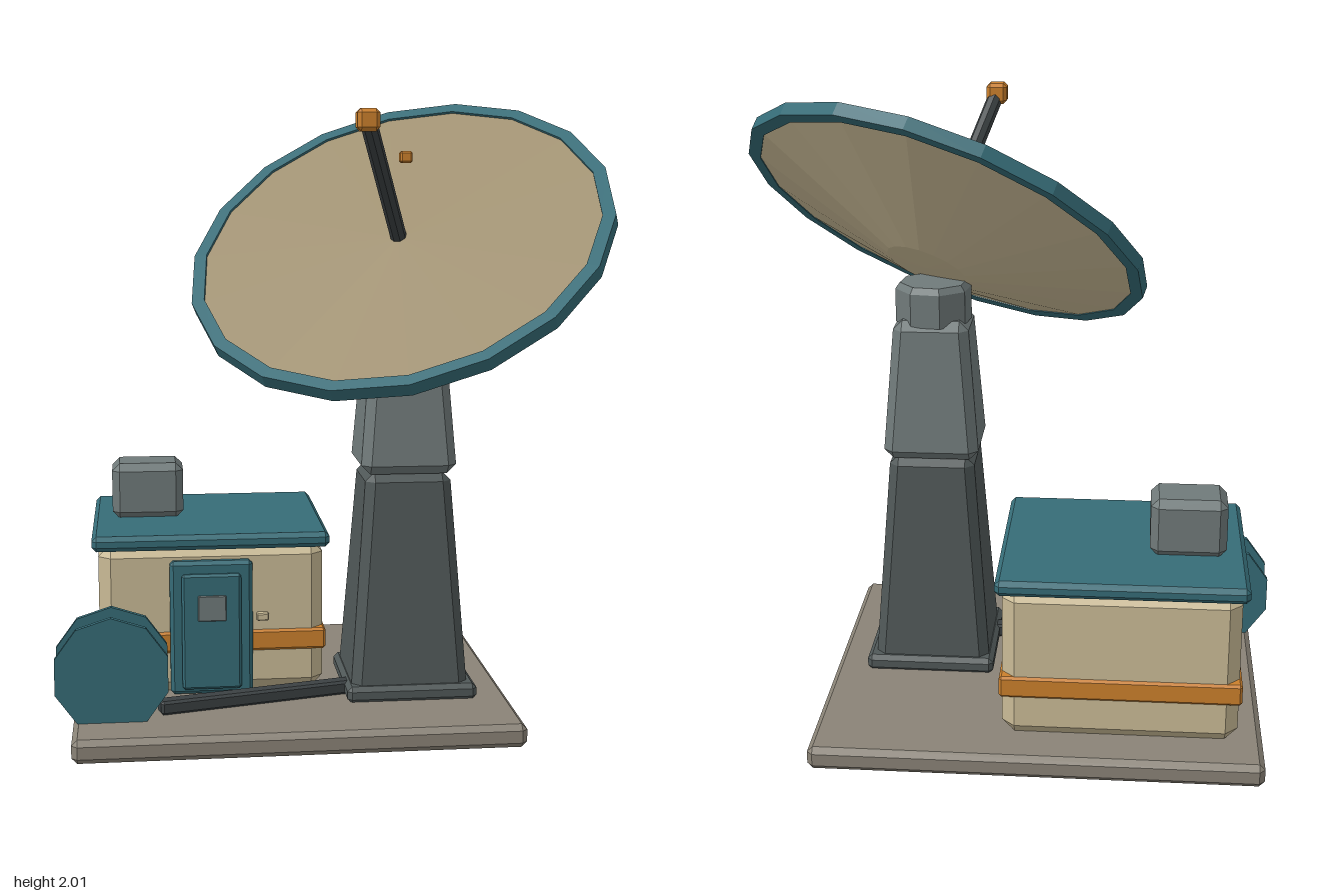
import * as THREE from 'three';
import { ConvexGeometry } from 'three/addons/geometries/ConvexGeometry.js';

const paint = (name, color) => {
  const m = new THREE.MeshStandardMaterial({ color });
  m.name = name;
  return m;
};

// Faceted normals for any geometry
const facet = (g) => {
  const f = g.index ? g.toNonIndexed() : g;
  f.computeVertexNormals();
  return f;
};

// Box with chamfered edges; the top may be narrower than the bottom
function chamferBox(w, h, d, b, topW = w, topD = d) {
  const pts = [];
  for (const sx of [-1, 1]) for (const sy of [-1, 1]) for (const sz of [-1, 1]) {
    const x = (sy < 0 ? w : topW) / 2, y = h / 2, z = (sy < 0 ? d : topD) / 2;
    pts.push(
      new THREE.Vector3(sx * x, sy * (y - b), sz * (z - b)),
      new THREE.Vector3(sx * (x - b), sy * (y - b), sz * z),
      new THREE.Vector3(sx * (x - b), sy * y, sz * (z - b)));
  }
  return new ConvexGeometry(pts);
}

const lathe = (pts, sides) =>
  facet(new THREE.LatheGeometry(pts.map(([r, y]) => new THREE.Vector2(r, y)), sides));

export function createModel() {
  const cream = paint('cream', 0xcabb96);
  const khaki = paint('khaki', 0x9f9070);
  const teal = paint('teal', 0x366c77);
  const orange = paint('orange', 0xcb802c);
  const darkGrey = paint('dark grey', 0x505858);
  const midGrey = paint('mid grey', 0x707a7a);
  const charcoal = paint('charcoal', 0x3b4143);
  const stone = paint('stone', 0x8a8377);

  const model = new THREE.Group();
  model.name = 'dishStation';
  const add = (name, geo, mat, x = 0, y = 0, z = 0, parent = model) => {
    const m = new THREE.Mesh(geo, mat);
    m.name = name;
    m.position.set(x, y, z);
    parent.add(m);
    return m;
  };
  // Chamfered box given by its x, y and z ranges
  const block = (name, mat, [x0, x1], [y0, y1], [z0, z1], b) =>
    add(name, chamferBox(x1 - x0, y1 - y0, z1 - z0, b), mat,
      (x0 + x1) / 2, (y0 + y1) / 2, (z0 + z1) / 2);

  block('basePlate', stone, [-0.835, 0.575], [0, 0.075], [-0.72, 0.51], 0.018);

  // Cabin
  block('cabinWalls', cream, [-0.755, -0.02], [0.075, 0.575], [-0.595, 0.075], 0.04);
  block('cabinBand', orange, [-0.763, -0.013], [0.215, 0.285], [-0.603, 0.083], 0.008);
  block('cabinRoof', teal, [-0.775, 0], [0.56, 0.61], [-0.615, 0.095], 0.015);
  block('roofUnit', midGrey, [-0.71, -0.47], [0.605, 0.795], [-0.385, -0.2], 0.025);
  block('doorFrame', teal, [-0.525, -0.255], [0.08, 0.525], [0.05, 0.105], 0.012);
  block('doorPanel', teal, [-0.487, -0.293], [0.1, 0.485], [0.09, 0.12], 0.008);
  block('doorWindow', midGrey, [-0.435, -0.342], [0.33, 0.415], [0.116, 0.125], 0.003);
  block('doorHandle', cream, [-0.242, -0.202], [0.32, 0.345], [0.07, 0.1], 0.004);

  // Cable reel
  const reel = new THREE.Group();
  reel.name = 'cableReel';
  reel.position.set(-0.713, 0.225, 0.267);
  model.add(reel);
  const disc = (r, t) => {
    const g = facet(new THREE.CylinderGeometry(r, r, t, 10));
    return g.rotateX(Math.PI / 2);
  };
  add('reelDrum', disc(0.15, 0.12), darkGrey, 0, 0, 0, reel);
  for (const s of [-1, 1]) add('reelFlange', disc(0.185, 0.02), teal, 0, 0, s * 0.067, reel);

  // Cable run from the reel to the tower foot
  const run = add('cableRun', chamferBox(0.66, 0.045, 0.055, 0.008), charcoal, -0.245, 0.097, 0.19);
  run.rotation.y = 0.25;

  // Tower
  const tx = 0.25, tz = 0.025;
  add('towerFoot', chamferBox(0.425, 0.055, 0.425, 0.015), darkGrey, 0.255, 0.0975, tz);
  add('towerLower', chamferBox(0.38, 0.72, 0.38, 0.03, 0.28, 0.28), darkGrey, tx, 0.455, tz);
  add('towerUpper', chamferBox(0.31, 0.46, 0.31, 0.03, 0.245, 0.245), midGrey, tx, 1.04, tz);
  add('towerHead', lathe([[0, 0], [0.125, 0], [0.125, 0.11], [0.11, 0.13], [0, 0.13]], 8),
    midGrey, tx, 1.25, tz).rotation.y = -Math.PI / 6;

  // Dish, tilted and turned
  const dish = new THREE.Group();
  dish.name = 'dish';
  dish.position.set(0.217, 1.56, 0.128);
  dish.rotation.set(THREE.MathUtils.degToRad(38.5), -Math.PI / 6, 0, 'YXZ');
  model.add(dish);
  add('dishBack', lathe([[0, -0.18], [0.14, -0.175], [0.66, -0.015]], 18), cream, 0, 0, 0, dish);
  add('dishFace', lathe([[0.66, 0.014], [0, 0.014]], 18), khaki, 0, 0, 0, dish);
  add('dishRim', lathe([[0.648, -0.022], [0.69, -0.022], [0.69, 0.022], [0.648, 0.022], [0.648, -0.022]], 18),
    teal, 0, 0, 0, dish);

  // Feed arm with its receiver, and the small sensor
  const from = new THREE.Vector3(0.22, 1.56, 0.12), to = new THREE.Vector3(0.075, 1.932, 0.422);
  const dir = to.clone().sub(from);
  const arm = add('feedArm', facet(new THREE.CylinderGeometry(0.026, 0.026, dir.length(), 8)), charcoal);
  arm.position.lerpVectors(from, to, 0.5);
  arm.quaternion.setFromUnitVectors(new THREE.Vector3(0, 1, 0), dir.clone().normalize());
  add('receiver', chamferBox(0.068, 0.068, 0.068, 0.012), orange, to.x, to.y, to.z);
  add('sensor', chamferBox(0.04, 0.038, 0.04, 0.006), orange, 0.254, 1.825, 0.02);

  return model;
}
